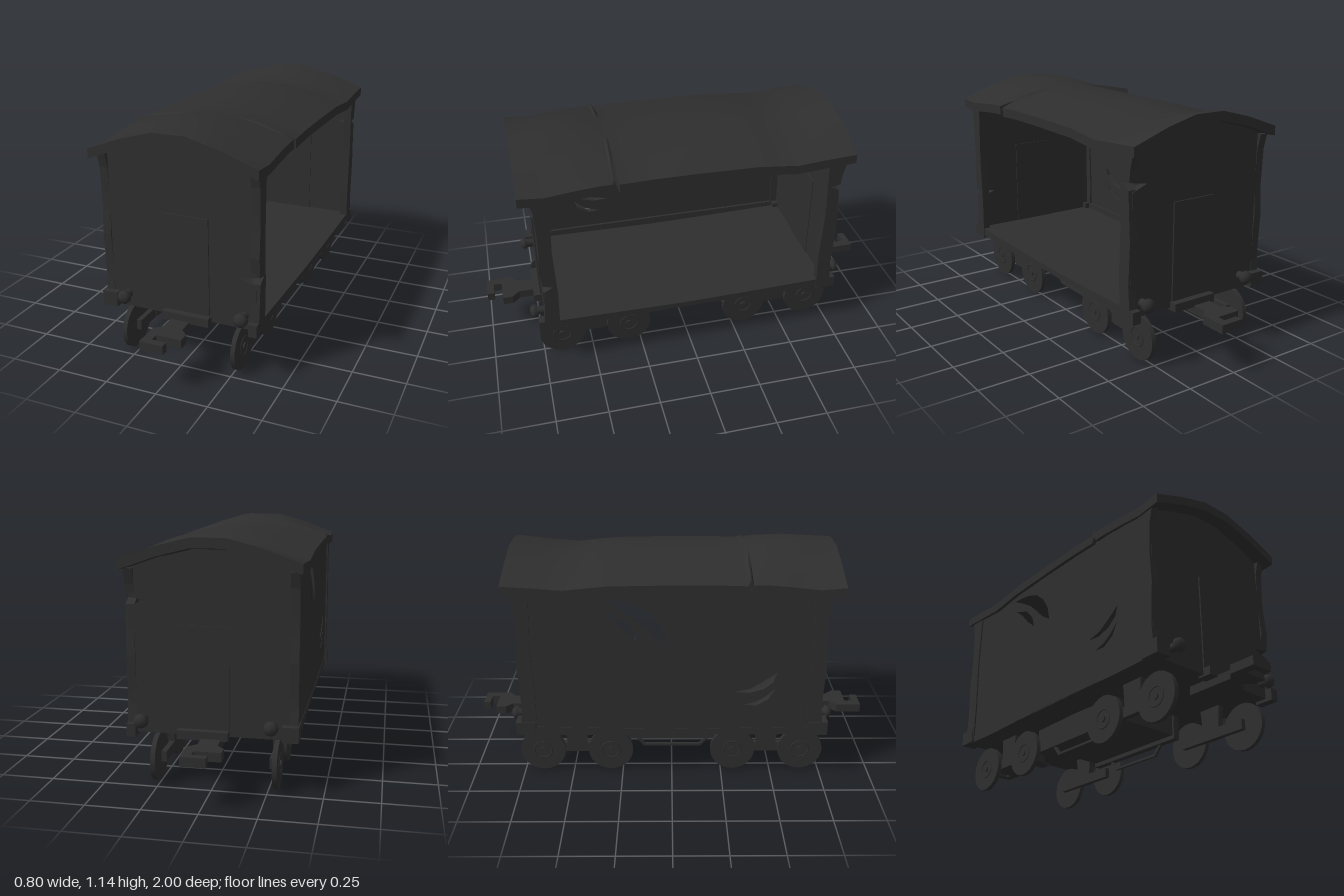
import * as THREE from 'three';
import { toCreasedNormals } from 'three/addons/utils/BufferGeometryUtils.js';

const charcoal = new THREE.MeshStandardMaterial({ color: 0x2e2e2e });
charcoal.name = 'charcoal';

function add(parent, name, geo, x = 0, y = 0, z = 0) {
  const m = new THREE.Mesh(geo, charcoal);
  m.name = name;
  m.position.set(x, y, z);
  parent.add(m);
  return m;
}

// Box given by its min and max corners
function box(parent, name, [x0, y0, z0], [x1, y1, z1]) {
  return add(parent, name, new THREE.BoxGeometry(x1 - x0, y1 - y0, z1 - z0),
    (x0 + x1) / 2, (y0 + y1) / 2, (z0 + z1) / 2);
}

const toShape = (pts) => new THREE.Shape(pts.map(([a, b]) => new THREE.Vector2(a, b)));
const extrude = (shape, depth) => new THREE.ExtrudeGeometry(shape, { depth, bevelEnabled: false });

// Plate drawn in [z, y], extruded from x0 towards +x
function sidePlate(parent, name, pts, x0, thick, holes = []) {
  const flip = (list) => list.map(([z, y]) => [-z, y]);
  const shape = toShape(flip(pts));
  shape.holes = holes.map((h) => toShape(flip(h)));
  return add(parent, name, extrude(shape, thick).rotateY(Math.PI / 2), x0);
}

// Sagging arched roof lofted through cross-sections; one eave is split
function roofGeometry() {
  // [z, ridge height, underside of eave, x of the +x eave]
  const stations = [
    [0.8, 1.125, 0.975, 0.4], [0.68, 1.133, 0.965, 0.4], [0.55, 1.14, 0.98, 0.4], [0.43, 1.127, 0.99, 0.4],
    [0.372, 1.117, 0.99, 0.4], [0.36, 1.115, 1.015, 0.32], [0.345, 1.112, 0.985, 0.4], [0.2, 1.107, 0.99, 0.4],
    [0, 1.105, 0.99, 0.4], [-0.3, 1.11, 0.985, 0.4], [-0.4, 1.097, 0.975, 0.4], [-0.5, 1.085, 0.965, 0.4],
    [-0.62, 1.103, 0.975, 0.4], [-0.785, 1.13, 0.985, 0.4]];
  const arch = [[-1, 1], [-0.225, 0.38], [-0.078, 0], [0.075, 0], [0.225, 0.38], [1, 1]];
  const pos = [], idx = [], n = arch.length * 2;
  for (const [z, ridge, eave, xe] of stations) {
    const row = arch.map(([x, t]) => [x === 1 ? xe : x === -1 ? -0.4 : x, ridge - t * (ridge - eave - 0.045)]);
    for (const [x, y] of row) pos.push(x, y, z);
    for (const [x, y] of row.reverse()) pos.push(x, y - 0.045, z);
  }
  for (let s = 0; s < stations.length - 1; s++) {
    for (let i = 0; i < n; i++) {
      const a = s * n + i, b = s * n + (i + 1) % n;
      idx.push(a, b, a + n, b, b + n, a + n);
    }
  }
  const last = (stations.length - 1) * n;
  for (let i = 0; i < arch.length - 1; i++) {
    const a = i, b = i + 1, c = n - 2 - i, d = n - 1 - i;
    idx.push(a, d, c, a, c, b);
    idx.push(last + a, last + c, last + d, last + a, last + b, last + c);
  }
  const g = new THREE.BufferGeometry();
  g.setAttribute('position', new THREE.Float32BufferAttribute(pos, 3));
  g.setIndex(idx);
  return toCreasedNormals(g, 0.5);
}

// One end: arched wall, posts, door, buffers. s = 1 front, -1 back
function buildEnd(parent, s, crackY) {
  const end = new THREE.Group();
  end.name = s > 0 ? 'frontEnd' : 'backEnd';
  parent.add(end);
  const wall = toShape([
    [-0.375, 0.25], [0.372, 0.25], [0.365, crackY - 0.03], [0.29, crackY], [0.365, crackY + 0.012],
    [0.375, 0.995], [0.225, 1.06], [0.075, 1.09], [-0.078, 1.09], [-0.225, 1.06], [-0.375, 0.995]]);
  add(end, 'endWall', extrude(wall, 0.03), 0, 0, s > 0 ? 0.7 : -0.73);

  // Wavy corner posts, the +x one cracked
  for (const side of [-1, 1]) {
    const crack = side > 0
      ? [[0.728, crackY + 0.015], [0.68, crackY + 0.005], [0.725, crackY - 0.02]] : [[0.732, crackY]];
    const outer = [[0.752, 0.99], [0.735, 0.92], ...(crackY > 0.7 ? crack : []), [0.728, 0.75], [0.738, 0.6],
      ...(crackY < 0.7 ? crack : []), [0.728, 0.4], [0.742, 0.25]];
    const pts = [...outer, [0.665, 0.25], [0.66, 0.45], [0.67, 0.7], [0.66, 0.99]].map(([z, y]) => [z * s, y]);
    sidePlate(end, 'cornerPost', pts, side > 0 ? 0.342 : -0.385, 0.04);
  }

  const zBox = (name, x0, x1, y0, y1, z0, z1) =>
    box(end, name, [x0, y0, Math.min(z0 * s, z1 * s)], [x1, y1, Math.max(z0 * s, z1 * s)]);
  zBox('postFoot', -0.39, -0.315, 0.25, 0.32, 0.67, 0.765);
  zBox('postFoot', 0.34, 0.382, 0.235, 0.295, 0.67, 0.765);
  zBox('door', -0.08, 0.142, 0.28, 0.745, 0.729, 0.737);
  zBox('innerDoor', -0.08, 0.142, 0.29, 0.745, 0.695, 0.701);
  zBox('doorStep', -0.08, 0.15, 0.24, 0.28, 0.7, 0.77);

  for (const x of [-0.27, 0.31]) {
    const profile = [[0, 0.8], [0.018, 0.798], [0.031, 0.786], [0.033, 0.77], [0.02, 0.763], [0.02, 0.72]];
    const g = new THREE.LatheGeometry(profile.map(([r, h]) => new THREE.Vector2(r, h)).reverse(), 16);
    add(end, 'buffer', g.rotateX(s * Math.PI / 2), x, 0.315, 0);
  }

  // Hooked coupler, turned half way round at the back
  const hook = toShape([
    [-0.04, 0.6], [0.05, 0.6], [0.05, 0.84], [0.085, 0.875], [0.085, 0.925], [-0.035, 0.925], [-0.035, 0.965],
    [0.035, 0.965], [0.035, 1], [-0.078, 1], [-0.078, 0.875], [-0.04, 0.84]]);
  const coupler = add(end, 'coupler', extrude(hook, 0.042).rotateX(Math.PI / 2), s > 0 ? 0.008 : 0, 0.248, 0);
  if (s < 0) coupler.rotation.y = Math.PI;
}

// Wheel pair with tapered hanger and bar, on one side
function buildBogieSide(parent, side, zc) {
  const g = new THREE.Group();
  g.name = 'bogieSide';
  parent.add(g);
  const x0 = side > 0 ? 0.235 : -0.265;
  sidePlate(g, 'hanger', [[zc - 0.06, 0.26], [zc + 0.06, 0.26], [zc + 0.045, 0.09], [zc - 0.045, 0.09]], x0, 0.03);
  box(g, 'wheelBar', [x0, 0.09, zc - 0.19], [x0 + 0.025, 0.14, zc + 0.19]);
  for (const dz of [-0.172, 0.172]) {
    const disc = (name, r, w, x) => add(g, name,
      new THREE.CylinderGeometry(r, r, w, 24).rotateZ(Math.PI / 2), side * x, 0.113, zc + dz);
    disc('wheel', 0.113, 0.022, 0.275);
    disc('hub', 0.016, 0.012, 0.287);
    const ring = new THREE.TorusGeometry(0.045, 0.005, 6, 24).rotateY(Math.PI / 2);
    add(g, 'wheelRing', ring, side * 0.285, 0.113, zc + dz);
  }
}

export function createModel() {
  const model = new THREE.Group();
  model.name = 'boxWagon';

  add(model, 'roof', roofGeometry());

  // Floor with a slightly uneven edge
  const floor = [[0.73, 0.25], [0.73, 0.29], [0.4, 0.285], [0.05, 0.28], [-0.3, 0.285], [-0.73, 0.295],
    [-0.73, 0.25], [-0.5, 0.245], [0, 0.255], [0.45, 0.247]];
  sidePlate(model, 'floor', floor, -0.38, 0.76);

  // Closed side wall with torn slashes
  const slashes = [
    [[-0.02, 0.73], [-0.035, 0.8], [-0.08, 0.87], [-0.14, 0.92], [-0.22, 0.95], [-0.34, 0.965],
      [-0.26, 0.92], [-0.19, 0.875], [-0.13, 0.82], [-0.08, 0.77]],
    [[-0.15, 0.74], [-0.17, 0.8], [-0.22, 0.855], [-0.32, 0.895], [-0.26, 0.845], [-0.21, 0.79]],
    [[0.505, 0.585], [0.49, 0.535], [0.44, 0.495], [0.37, 0.476], [0.3, 0.482], [0.38, 0.5], [0.45, 0.545]],
    [[0.5, 0.5], [0.47, 0.445], [0.41, 0.408], [0.35, 0.412], [0.41, 0.43], [0.45, 0.455]]];
  sidePlate(model, 'sideWall', [[0.7, 0.25], [0.7, 1], [-0.7, 1], [-0.7, 0.25]], -0.378, 0.025, slashes);
  box(model, 'wallLedge', [-0.36, 0.28, -0.67], [-0.34, 0.32, 0.67]);

  buildEnd(model, 1, 0.495);
  buildEnd(model, -1, 0.85);

  // Running gear
  const under = new THREE.Group();
  under.name = 'underframe';
  under.position.x = -0.01;
  model.add(under);
  box(under, 'centreTank', [-0.17, 0.15, -0.29], [0.18, 0.26, 0.29]);
  for (const side of [-1, 1]) {
    const x = side * 0.187;
    box(under, 'sill', [x - 0.017, 0.13, -0.3], [x + 0.017, 0.26, 0.3]);
    const truss = [[0.195, 0.13], [0.15, 0.08], [-0.145, 0.08], [-0.185, 0.13],
      [-0.17, 0.13], [-0.138, 0.092], [0.143, 0.092], [0.18, 0.13]];
    sidePlate(under, 'trussRod', truss, x - 0.007, 0.014);
    for (const zc of [-0.482, 0.48]) buildBogieSide(under, side, zc);
  }
  return model;
}
